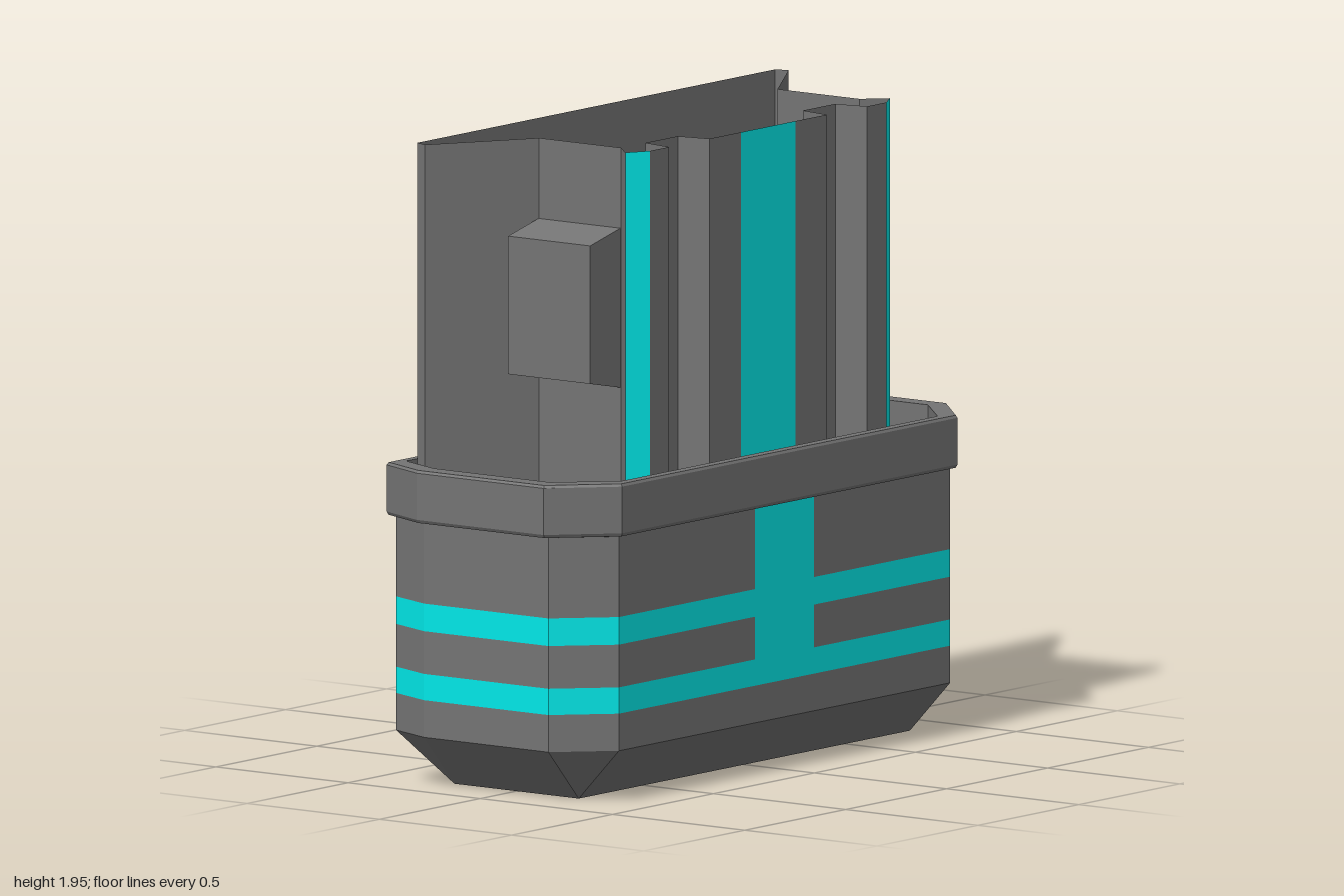
import * as THREE from 'three';

const GREY = 0x747474, CYAN = 0x00e8e8;
const FLOOR = 0.16, RIM_Y = 0.975, TOP = 1.95;

// Flat-shaded surface joining rings of [x, y, z] points, ordered from bottom to top
function loft(name, rings, color, { closed = false, thin = false } = {}) {
  const pos = [];
  const addTriangle = (a, b, c) => {
    const same = (p, q) => p.every((v, i) => v === q[i]);
    if (!same(a, b) && !same(b, c) && !same(c, a)) pos.push(...a, ...b, ...c);
  };
  for (let r = 0; r < rings.length - 1; r++) {
    const low = rings[r], high = rings[r + 1], n = low.length;
    for (let i = 0; i < (closed ? n : n - 1); i++) {
      const j = (i + 1) % n;
      addTriangle(low[i], low[j], high[j]);
      addTriangle(low[i], high[j], high[i]);
    }
  }
  const geometry = new THREE.BufferGeometry();
  geometry.setAttribute('position', new THREE.Float32BufferAttribute(pos, 3));
  geometry.computeVertexNormals();
  const mesh = new THREE.Mesh(geometry, new THREE.MeshStandardMaterial({
    color, flatShading: true, side: thin ? THREE.DoubleSide : THREE.FrontSide,
  }));
  mesh.name = name;
  return mesh;
}

const at = (path, y) => path.map(([x, z]) => [x, y, z]);
const mirror = (path) => path.map(([x, z]) => [-x, z]).reverse();

// Eight-cornered outline, with wide front chamfers and narrow back ones
function octagon(x, sideFront, sideBack, front, frontX, back, backX) {
  const half = [[frontX, front], [x, sideFront], [x, sideBack], [backX, back]];
  return [...half, ...mirror(half)];
}

export function createModel() {
  const model = new THREE.Group();
  const outer = octagon(0.97, 0.235, -0.235, 0.387, 0.82, -0.387, 0.91);
  const inner = octagon(0.935, 0.215, -0.225, 0.37, 0.78, -0.378, 0.872);
  const rim = octagon(1, 0.24, -0.24, 0.407, 0.83, -0.41, 0.927);
  const rimInset = octagon(0.994, 0.238, -0.238, 0.402, 0.828, -0.405, 0.923);
  const point = (y) => outer.map(() => [0, y, 0]);

  // Tapered foot: the eight corners run down to a rectangle
  const foot = outer.map(([x, z]) => [Math.sign(x) * 0.82, Math.sign(z) * 0.235]);
  model.add(loft('foot', [point(0), at(foot, 0), at(outer, 0.16)], GREY, { closed: true }));

  // Outer wall in bands, wrapping round from one side of the front panel to the other
  const around = [[0.147, 0.387], ...outer, [-0.147, 0.387]];
  const levels = [0.16, 0.273, 0.353, 0.483, 0.567, 0.812];
  for (let i = 0; i < levels.length - 1; i++) {
    const stripe = i % 2 === 1;
    model.add(loft(stripe ? 'stripe' : 'wallBand',
      [at(around, levels[i]), at(around, levels[i + 1])], stripe ? CYAN : GREY));
  }
  const centre = [[-0.147, 0.387], [0.147, 0.387]];
  model.add(loft('frontLowerWall', [at(centre, 0.16), at(centre, 0.273)], GREY));
  model.add(loft('frontPanel', [at(centre, 0.273), at(centre, 0.812)], CYAN));

  // Bevelled rim, then down the inside to the floor
  model.add(loft('rim', [
    at(outer, 0.812), at(rimInset, 0.815), at(rim, 0.825),
    at(rim, 0.967), at(rimInset, RIM_Y), at(inner, RIM_Y),
  ], GREY, { closed: true }));
  model.add(loft('inside', [at(inner, RIM_Y), at(inner, FLOOR), point(FLOOR)], GREY, { closed: true }));

  // Thin open-topped insert standing in the tub
  const insert = new THREE.Group();
  insert.name = 'insert';
  const addWall = (name, path, color) =>
    insert.add(loft(name, [at(path, FLOOR), at(path, TOP)], color, { thin: true }));
  const groove = [[0.135, 0.325], [0.29, 0.325], [0.31, 0.22], [0.47, 0.22], [0.49, 0.325], [0.585, 0.325]];
  const corner = [[0.585, 0.325], [0.655, 0.285]];
  const flank = [[0.655, 0.285], [0.59, 0.22], [0.59, -0.09], [0.9, -0.285], [0.884, -0.325]];
  addWall('insertFrontStripe', [[-0.135, 0.325], [0.135, 0.325]], CYAN);
  addWall('insertBack', [[0.884, -0.325], [-0.884, -0.325]], GREY);
  for (const side of [1, -1]) {
    const label = side > 0 ? 'Left' : 'Right';
    const sided = (path) => (side > 0 ? path : mirror(path));
    addWall('groovedFront' + label, sided(groove), GREY);
    addWall('cornerStripe' + label, sided(corner), CYAN);
    addWall('flank' + label, sided(flank), GREY);

    // Side catch with sloping top and bottom
    const profile = [[0.59, 1.22], [0.74, 1.25], [0.74, 1.67], [0.59, 1.705]];
    const shape = new THREE.Shape(profile.map(([x, y]) => new THREE.Vector2(side * x, y)));
    const clip = new THREE.Mesh(
      new THREE.ExtrudeGeometry(shape, { depth: 0.31, bevelEnabled: false }),
      new THREE.MeshStandardMaterial({ color: GREY, flatShading: true }));
    clip.position.z = -0.093;
    clip.name = 'catch' + label;
    insert.add(clip);
  }
  model.add(insert);
  return model;
}
